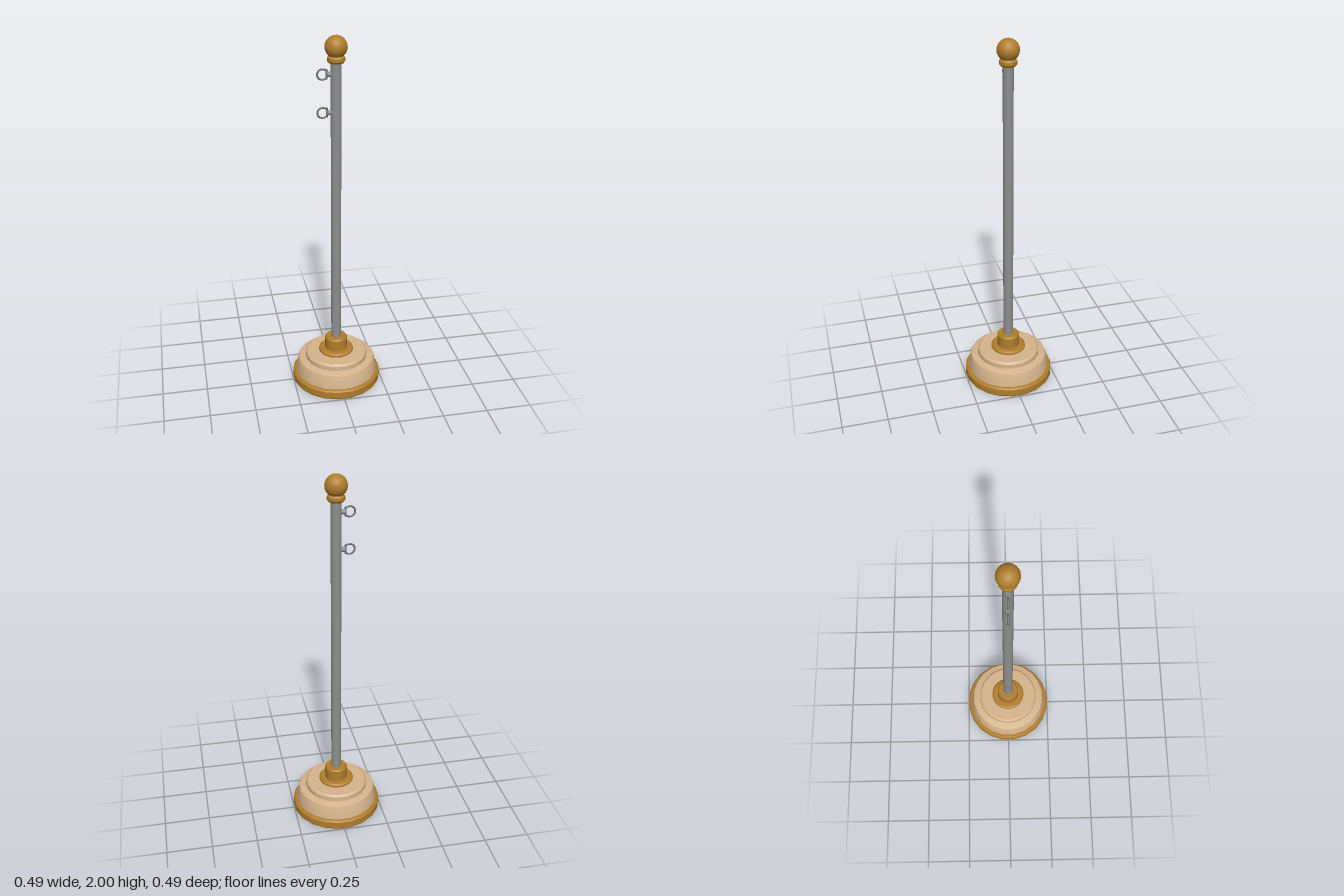
import * as THREE from 'three';
import { toCreasedNormals } from 'three/addons/utils/BufferGeometryUtils.js';

export function createModel() {
  const model = new THREE.Group();
  model.name = 'flagpole';

  const material = (name, color) => {
    const m = new THREE.MeshStandardMaterial({ color });
    m.name = name;
    return m;
  };
  const brass = material('brass', 0xb07d2b);
  const cream = material('cream', 0xd6b48c);
  const steel = material('steel', 0x8e8e8e);
  const darkSteel = material('darkSteel', 0x74777a);

  const add = (name, geometry, mat, parent = model) => {
    const mesh = new THREE.Mesh(geometry, mat);
    mesh.name = name;
    parent.add(mesh);
    return mesh;
  };

  // Turned part from a bottom-to-top profile, with crisp edges
  const turned = (name, profile, mat, sides = 20) => {
    const points = profile.map(([r, y]) => new THREE.Vector2(r, y));
    const geometry = new THREE.LatheGeometry(points, sides);
    geometry.rotateY(Math.PI / sides);
    return add(name, toCreasedNormals(geometry, 0.6), mat);
  };

  // Stepped base
  turned('baseRing', [[0, 0], [0.244, 0], [0.25, 0.008], [0.25, 0.046], [0.242, 0.054], [0, 0.054]], brass);
  turned('basePlinth', [[0.23, 0.05], [0.219, 0.13], [0.215, 0.138], [0.205, 0.142], [0, 0.142]], cream);
  turned('baseStep', [[0.176, 0.138], [0.175, 0.168], [0.165, 0.178], [0, 0.178]], cream);

  // Brass socket holding the pole
  turned('socketFlange', [[0.092, 0.175], [0.098, 0.181], [0.098, 0.19], [0.088, 0.198], [0, 0.198]], brass);
  turned('socketCollar', [[0.063, 0.19], [0.063, 0.263], [0.056, 0.272], [0, 0.272]], brass);

  // Pole
  const pole = new THREE.CylinderGeometry(0.028, 0.028, 1.62, 16);
  add('pole', pole, steel).position.y = 1.07;

  // Finial
  turned('finialCollar', [[0, 1.862], [0.038, 1.862], [0.046, 1.872], [0.046, 1.888], [0.036, 1.9], [0, 1.9]], brass);
  add('finialBall', new THREE.SphereGeometry(0.058, 24, 16), brass).position.y = 1.942;

  // Two halyard rings on the pole's right side
  for (const y of [1.805, 1.605]) {
    const fitting = new THREE.Group();
    fitting.name = 'halyardFitting';
    fitting.position.y = y;

    const lug = new THREE.CylinderGeometry(0.014, 0.014, 0.026, 12).rotateZ(Math.PI / 2);
    add('lug', lug, steel, fitting).position.x = -0.034;

    const bar = new THREE.CylinderGeometry(0.005, 0.005, 0.05, 8);
    add('ringBar', bar, darkSteel, fitting).position.x = -0.048;

    const ring = new THREE.TorusGeometry(0.027, 0.005, 8, 24);
    add('ring', ring, darkSteel, fitting).position.x = -0.07;

    model.add(fitting);
  }

  return model;
}
